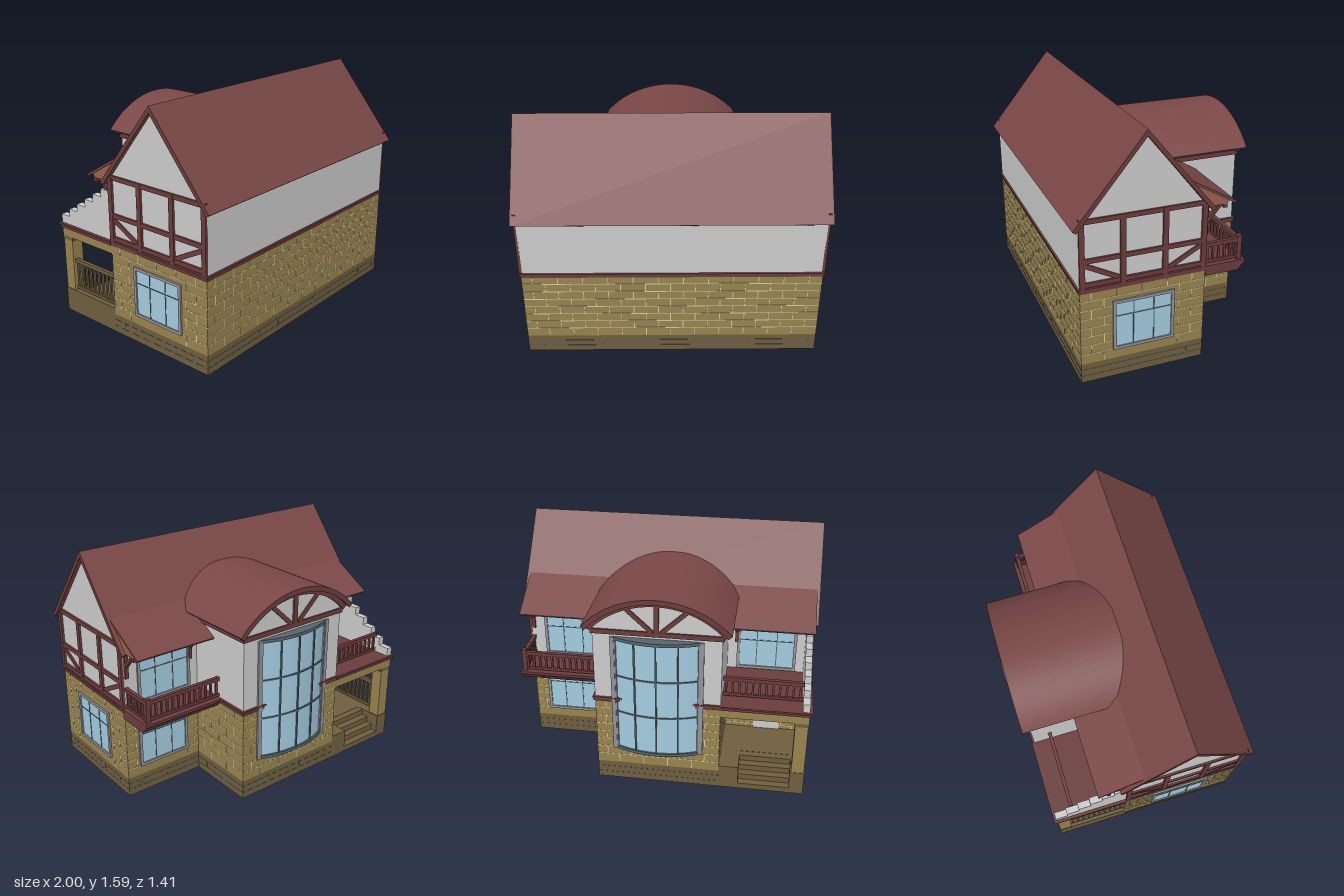
import * as THREE from 'three';
import { mergeGeometries } from 'three/addons/utils/BufferGeometryUtils.js';

const paint = (name, color, side = THREE.FrontSide) => {
  const m = new THREE.MeshStandardMaterial({ color, side });
  m.name = name;
  return m;
};

export function createModel() {
  const roofRed = paint('roof red', 0x7a4747), timber = paint('timber', 0x6b3c3c);
  const plaster = paint('plaster', 0xcccccc), brick = paint('brick', 0x98834f);
  const stone = paint('dark stone', 0x6f5e3e), mortar = paint('mortar', 0xd2cba0);
  const slate = paint('slate', 0x56636c, THREE.DoubleSide), stoneGrey = paint('window surround', 0x92929a);
  const glass = paint('glass', 0xa3cce0, THREE.DoubleSide), soffit = paint('soffit', 0x9a614f);
  const house = new THREE.Group();
  house.name = 'house';

  const add = (parent, name, geo, mat) => {
    const m = new THREE.Mesh(geo, mat);
    m.name = name;
    parent.add(m);
    return m;
  };
  const boxGeo = (x0, x1, y0, y1, z0, z1) =>
    new THREE.BoxGeometry(x1 - x0, y1 - y0, z1 - z0).translate((x0 + x1) / 2, (y0 + y1) / 2, (z0 + z1) / 2);
  const box = (p, name, mat, ...b) => add(p, name, boxGeo(...b), mat);
  // sloping timber lying in the local xy plane
  const beam = (p, name, mat, x1, y1, x2, y2, w, z0, z1) => {
    const g = new THREE.BoxGeometry(Math.hypot(x2 - x1, y2 - y1), w, z1 - z0)
      .rotateZ(Math.atan2(y2 - y1, x2 - x1)).translate((x1 + x2) / 2, (y1 + y2) / 2, (z0 + z1) / 2);
    return add(p, name, g, mat);
  };
  // prism along x from a [z, y] outline
  const prismX = (p, name, mat, pts, x0, x1) => {
    const s = new THREE.Shape(pts.map(([z, y]) => new THREE.Vector2(-z, y)));
    const g = new THREE.ExtrudeGeometry(s, { depth: x1 - x0, bevelEnabled: false }).rotateY(Math.PI / 2).translate(x0, 0, 0);
    return add(p, name, g, mat);
  };
  // local frame of a facade: x along the wall, z outward
  const facade = (name, x, z, turn) => {
    const g = new THREE.Group();
    g.name = name;
    g.position.set(x, 0, z);
    g.rotation.y = turn;
    house.add(g);
    return g;
  };

  // framed window [x0, x1, y0, y1] with glazing bars
  const windowAt = (p, [x0, x1, y0, y1]) => {
    const f = 0.02;
    box(p, 'windowGlass', glass, x0 + f, x1 - f, y0 + f, y1 - f, -0.026, 0.003);
    for (const [a, b] of [[x0, x0 + f], [x1 - f, x1]]) box(p, 'windowJamb', stoneGrey, a, b, y0, y1, -0.015, 0.012);
    for (const [a, b] of [[y0, y0 + f], [y1 - f, y1]]) box(p, 'windowSill', stoneGrey, x0 + f, x1 - f, a, b, -0.015, 0.012);
    for (const t of [1 / 3, 2 / 3]) {
      const x = x0 + (x1 - x0) * t;
      box(p, 'windowMullion', slate, x - 0.003, x + 0.003, y0 + f, y1 - f, 0.002, 0.006);
    }
    const y = y0 + (y1 - y0) * 0.68;
    box(p, 'windowTransom', slate, x0 + f, x1 - f, y - 0.003, y + 0.003, 0.002, 0.006);
  };

  // brick wall over a dark plinth, with raised joints around an optional window
  const brickWall = (name, x, z, turn, len, win) => {
    const p = facade(name, x, z, turn), h = len / 2;
    box(p, 'plinth', stone, -h, h, 0, 0.13, -0.02, 0);
    box(p, 'brickwork', brick, -h, h, 0.13, 0.62, -0.02, 0);
    const lines = [], pitch = 0.0613, t = 0.0025;
    for (let r = 0; r < 8; r++) {
      const y = 0.135 + pitch * r;
      const cut = win && y > win[2] && y < win[3];
      if (r) for (const [a, b] of cut ? [[-h, win[0]], [win[1], h]] : [[-h, h]]) lines.push(boxGeo(a, b, y - t, y + t, -0.002, 0.0015));
      for (let u = -h + (r % 2 ? 0.07 : 0.15); u < h - 0.02; u += 0.163) {
        const hit = win && u > win[0] - t && u < win[1] + t && y + pitch > win[2] && y < win[3];
        if (!hit) lines.push(boxGeo(u - t, u + t, y, Math.min(y + pitch, 0.62), -0.002, 0.0015));
      }
    }
    add(p, 'mortarJoints', mergeGeometries(lines), mortar);
    const seams = [0.045, 0.09].map(y => boxGeo(-h, h, y - 0.0015, y + 0.0015, -0.002, 0.0015));
    for (let u = -h + 0.1; u < h; u += 0.2) seams.push(boxGeo(u - 0.0015, u + 0.0015, 0.045, 0.09, -0.002, 0.0015));
    add(p, 'plinthJoints', mergeGeometries(seams), slate);
    if (win) windowAt(p, win);
    return p;
  };

  // ground floor, open underneath
  const Q = Math.PI / 2, sideWin = [-0.2, 0.2, 0.195, 0.535];
  brickWall('frontWall', 0, 0.66, 0, 1.95);
  for (const s of [1, -1]) {
    brickWall('gableWall', s * 0.975, 0.255, s * Q, 0.81, sideWin);
    brickWall('baySideWall', s * 0.41, -0.395, s * Q, 0.49);
  }
  brickWall('balconyBackWall', 0.6925, -0.15, Math.PI, 0.565, [-0.19, 0.19, 0.195, 0.535]);
  const porchWall = brickWall('porchBackWall', -0.6925, -0.15, Math.PI, 0.565);
  box(porchWall, 'porchDoor', plaster, -0.08, 0.1, 0.17, 0.52, 0, 0.008);
  brickWall('bayBackWall', 0, -0.64, Math.PI, 0.82);

  // floor band
  box(house, 'mainBand', timber, -0.98, 0.98, 0.62, 0.64, -0.155, 0.665);
  box(house, 'mainBandLedge', timber, -0.985, 0.985, 0.64, 0.652, -0.16, 0.672);
  box(house, 'bayBand', timber, -0.42, 0.42, 0.62, 0.64, -0.648, -0.1);
  box(house, 'bayBandLedge', timber, -0.425, 0.425, 0.64, 0.652, -0.654, -0.1);

  // upper floor and main roof
  prismX(house, 'upperWalls', plaster,
    [[0.66, 0.615], [0.66, 1.055], [0.25, 1.55], [-0.15, 1.055], [-0.15, 0.615]], -0.97, 0.97);
  const chevron = [[0.7, 1.04], [0.25, 1.59], [-0.2, 1.04], [-0.178, 1.025], [0.25, 1.548], [0.678, 1.025]];
  prismX(house, 'mainRoof', roofRed, chevron, -0.992, 0.992);
  for (const x of [-1, 0.992]) prismX(house, 'bargeboard', timber, chevron, x, x + 0.008);

  // half-timbering on both gables
  for (const s of [1, -1]) {
    const g = facade('gableTimbers', s * 0.97, 0.255, s * Q);
    for (const [a, b] of [[0.66, 0.69], [0.815, 0.845], [1.065, 1.095]]) box(g, 'rail', timber, -0.405, 0.405, a, b, -0.005, 0.013);
    for (const u of [-0.388, -0.135, 0.135, 0.388]) box(g, 'post', timber, u - 0.017, u + 0.017, 0.65, 1.095, -0.005, 0.015);
    for (const m of [1, -1]) beam(g, 'brace', timber, m * 0.375, 0.805, m * 0.15, 0.685, 0.03, -0.005, 0.01);
  }

  // bay: plaster body with arched top and barrel roof
  const R = 0.631, cy = 0.759, half = Math.asin(0.47 / R);
  const extrudeZ = (name, mat, shape, z0, z1) => add(house, name,
    new THREE.ExtrudeGeometry(shape, { depth: z1 - z0, bevelEnabled: false, curveSegments: 24 }).translate(0, 0, z0), mat);
  const inA = Math.asin(0.41 / 0.607);
  const body = new THREE.Shape();
  body.moveTo(-0.41, 0.615);
  body.lineTo(0.41, 0.615);
  body.absarc(0, cy, 0.607, Q - inA, Q + inA, false);
  extrudeZ('bayWalls', plaster, body, -0.64, 0);
  const arch = (r0, r1) => {
    const s = new THREE.Shape();
    s.absarc(0, cy, r1, Q - half, Q + half, false);
    s.absarc(0, cy, r0, Q + half, Q - half, true);
    return s;
  };
  extrudeZ('barrelRoof', roofRed, arch(0.603, R), -0.682, 0.08);
  extrudeZ('barrelRoofEdge', timber, arch(0.598, R), -0.69, -0.682);
  extrudeZ('archTimber', timber, arch(0.57, 0.605), -0.655, -0.638);
  box(house, 'bayTieBeam', timber, -0.42, 0.42, 1.12, 1.152, -0.652, -0.1);
  const bayFront = facade('bayGableTimbers', 0, -0.64, Math.PI);
  box(bayFront, 'kingPost', timber, -0.016, 0.016, 1.15, 1.35, -0.005, 0.013);
  for (const m of [1, -1]) beam(bayFront, 'fanBrace', timber, m * 0.03, 1.15, m * 0.2, 1.31, 0.028, -0.005, 0.011);

  // bowed window on the bay
  const bow = new THREE.Group();
  bow.name = 'bowWindow';
  bow.position.z = -0.017;
  house.add(bow);
  const W = 0.677, a = 0.42;
  const ring = (name, mat, r0, r1, y0, y1) => {
    const pts = [[r0, y0], [r1, y0], [r1, y1], [r0, y1], [r0, y0]].map(v => new THREE.Vector2(...v));
    const g = new THREE.LatheGeometry(pts, 12, Math.PI - a, 2 * a).toNonIndexed();
    g.computeVertexNormals();
    add(bow, name, g, mat);
  };
  add(bow, 'bowGlass', new THREE.CylinderGeometry(W, W, 0.82, 12, 1, true, Math.PI - a, 2 * a).translate(0, 0.677, 0), glass);
  ring('bowSill', slate, W - 0.06, W + 0.012, 0.253, 0.275);
  ring('bowHead', slate, W - 0.06, W + 0.012, 1.08, 1.102);
  for (const y of [0.55, 0.82]) ring('bowTransom', slate, W - 0.004, W + 0.006, y - 0.005, y + 0.005);
  for (let i = 0; i <= 4; i++) {
    const edge = i % 4 === 0, w = edge ? 0.014 : 0.005;
    add(bow, 'bowMullion', boxGeo(-w, w, 0.27, 1.085, W - 0.006, W + 0.008).rotateY(Math.PI + a * (i / 2 - 1) * 0.985), edge ? stoneGrey : slate);
  }
  for (const m of [1, -1]) box(house, 'bowReveal', stoneGrey, m * 0.285 - 0.013, m * 0.285 + 0.013, 0.255, 1.1, -0.652, -0.635);

  // upper back windows and flared eaves with brackets
  for (const s of [1, -1]) {
    windowAt(facade('upperBackWindow', s * 0.6725, -0.15, Math.PI), [-0.2, 0.2, 0.66, 0.98]);
    const [x0, x1] = s > 0 ? [0.41, 0.98] : [-0.98, -0.41];
    prismX(house, 'flaredEave', roofRed, [[-0.03, 1.238], [-0.345, 1.055], [-0.338, 1.043], [-0.03, 1.222]], x0, x1);
    prismX(house, 'flaredSoffit', soffit, [[-0.05, 1.212], [-0.3, 1.067], [-0.28, 1.045], [-0.16, 1.045]], x0 + 0.008, x1 - 0.008);
    box(house, 'eaveBeam', timber, x0, x1 - 0.01, 1.02, 1.045, -0.285, -0.26);
    for (const u of [0.47, 0.95]) {
      const x = s * u;
      prismX(house, 'eaveBracket', timber, [[-0.15, 0.92], [-0.26, 1.04], [-0.235, 1.045], [-0.15, 0.95]], x - 0.012, x + 0.012);
      box(house, 'bracketPost', timber, x - 0.012, x + 0.012, 0.86, 1.05, -0.165, -0.15);
    }
  }

  // straight balustrade along x or z
  const balustrade = (name, mat, x0, z0, x1, z1, y0, y1) => {
    const g = facade(name, x0, z0, -Math.atan2(z1 - z0, x1 - x0)), L = Math.hypot(x1 - x0, z1 - z0);
    box(g, 'handrail', mat, 0, L, y1 - 0.025, y1, -0.012, 0.012);
    box(g, 'footRail', mat, 0, L, y0, y0 + 0.018, -0.009, 0.009);
    const n = Math.round(L / 0.042);
    for (let i = 0; i < n; i++) {
      const u = (i + 0.5) * L / n;
      box(g, 'baluster', mat, u - 0.007, u + 0.007, y0, y1 - 0.02, -0.007, 0.007);
    }
  };

  // balcony
  prismX(house, 'balconyDeck', timber,
    [[-0.15, 0.585], [-0.375, 0.585], [-0.405, 0.62], [-0.42, 0.635], [-0.42, 0.652], [-0.15, 0.652]], 0.41, 0.985);
  balustrade('balconyBackRail', timber, 0.41, -0.385, 0.955, -0.385, 0.66, 0.797);
  balustrade('balconySideRail', timber, 0.955, -0.385, 0.955, -0.15, 0.66, 0.797);
  box(house, 'balconyPost', timber, 0.94, 0.97, 0.65, 0.815, -0.4, -0.37);

  // terrace over the porch, with a stepped parapet
  box(house, 'terraceDeck', timber, -0.985, -0.41, 0.62, 0.64, -0.65, -0.15);
  box(house, 'terraceLedge', timber, -0.993, -0.41, 0.64, 0.652, -0.658, -0.15);
  balustrade('terraceRail', timber, -0.93, -0.52, -0.41, -0.52, 0.66, 0.797);
  for (let i = 0; i < 6; i++) {
    const z = -0.15 - i * 0.082;
    box(house, 'parapetStep', plaster, -0.973, -0.928, 0.65, 0.98 - i * 0.054, z - 0.082, z);
  }

  // porch: beams, post, floor, steps and side rail
  box(house, 'porchBackBeam', brick, -0.975, -0.41, 0.56, 0.62, -0.64, -0.57);
  box(house, 'porchSideBeam', brick, -0.975, -0.905, 0.56, 0.62, -0.57, -0.15);
  box(house, 'porchPost', brick, -0.972, -0.888, 0.17, 0.56, -0.637, -0.553);
  box(house, 'porchPostCap', stone, -0.975, -0.88, 0.535, 0.562, -0.64, -0.545);
  box(house, 'porchFloor', stone, -0.975, -0.41, 0.12, 0.17, -0.45, -0.15);
  box(house, 'porchPlinth', stone, -0.975, -0.955, 0, 0.12, -0.45, -0.15);
  box(house, 'porchCornerBase', stone, -0.975, -0.88, 0, 0.17, -0.64, -0.45);
  box(house, 'stepCheek', stone, -0.54, -0.41, 0, 0.17, -0.64, -0.45);
  for (let i = 0; i < 4; i++) {
    const z = -0.64 + i * 0.0475;
    box(house, 'porchStep', stone, -0.88, -0.54, i * 0.0425, (i + 1) * 0.0425 - 0.002, z, z + 0.06);
  }
  balustrade('porchSideRail', stone, -0.945, -0.555, -0.945, -0.15, 0.18, 0.4);

  return house;
}
